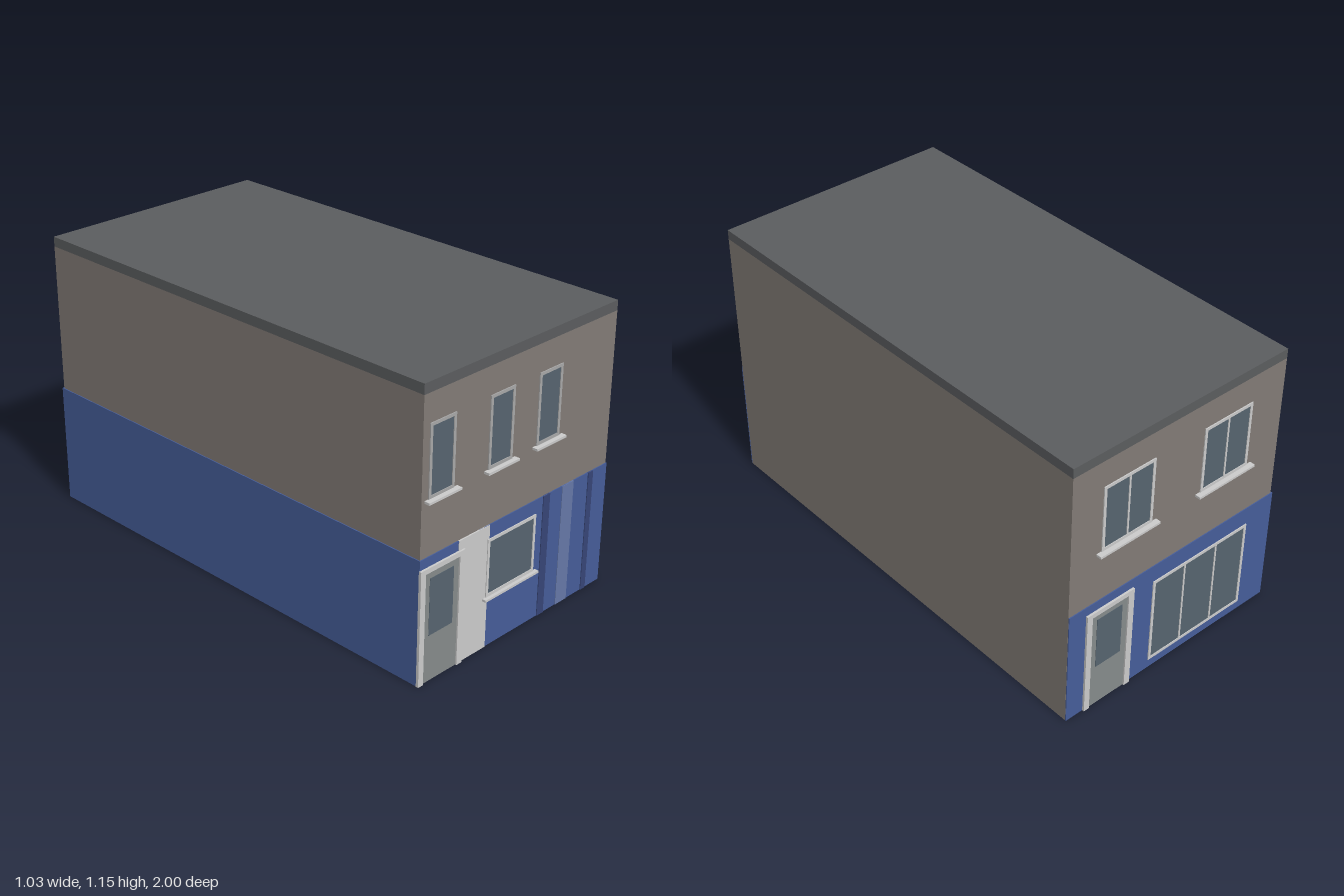
import * as THREE from 'three';

const mat = (color, side = THREE.FrontSide) => new THREE.MeshStandardMaterial({ color, side });
const M = {
  wall: mat(0x827b76, THREE.DoubleSide),
  roof: mat(0x5b5d5f),
  blue: mat(0x465d99),
  darkBlue: mat(0x374577),
  paleBlue: mat(0x6678a7),
  trim: mat(0xcccccc),
  frame: mat(0xa8a8a8),
  door: mat(0x868b8b),
  glass: mat(0x56646f),
};
const X0 = -0.51, X1 = 0.515, WALL = 0.977, BLUE = 0.982, H = 1.15, SHOP = 0.5;

// box given by its extents
function box(parent, name, m, x0, x1, y0, y1, z0, z1) {
  const mesh = new THREE.Mesh(new THREE.BoxGeometry(x1 - x0, y1 - y0, z1 - z0), m);
  mesh.position.set((x0 + x1) / 2, (y0 + y1) / 2, (z0 + z1) / 2);
  mesh.name = name;
  parent.add(mesh);
  return mesh;
}

// rectangular surround with an opening, extruded from z to z + depth
function surround(parent, name, m, outer, inner, z, depth) {
  const corners = ([x0, x1, y0, y1]) =>
    [[x0, y0], [x1, y0], [x1, y1], [x0, y1]].map(([x, y]) => new THREE.Vector2(x, y));
  const shape = new THREE.Shape(corners(outer));
  shape.holes.push(new THREE.Path(corners(inner)));
  const mesh = new THREE.Mesh(new THREE.ExtrudeGeometry(shape, { depth, bevelEnabled: false }), m);
  mesh.position.z = z;
  mesh.name = name;
  parent.add(mesh);
}

// framed window with equal panes and an optional sill
function makeWindow(parent, name, { x0, x1, y0, y1, z, m = M.frame, panes = 1, sill = 0 }) {
  const g = new THREE.Group();
  g.name = name;
  const t = 0.012;
  surround(g, 'windowFrame', m, [x0, x1, y0, y1], [x0 + t, x1 - t, y0 + t, y1 - t], z, 0.004);
  box(g, 'windowGlass', M.glass, x0 + t, x1 - t, y0 + t, y1 - t, z, z + 0.0015);
  for (let i = 1; i < panes; i++) {
    const x = x0 + ((x1 - x0) * i) / panes;
    box(g, 'mullion', m, x - t / 3, x + t / 3, y0 + t, y1 - t, z, z + 0.004);
  }
  if (sill) box(g, 'windowSill', M.trim, x0 - sill, x1 + sill, y0 - 0.009, y0, z - 0.002, 1.0);
  parent.add(g);
}

// glazed door inside a raised frame, x is the frame's left edge
function makeDoor(parent, name, x) {
  const g = new THREE.Group();
  g.name = name;
  const shape = [[0, 0], [0.025, 0], [0.025, 0.443], [0.2, 0.443], [0.2, 0], [0.227, 0],
    [0.227, 0.462], [0, 0.462]].map(([a, b]) => new THREE.Vector2(x + a, b));
  const frame = new THREE.Mesh(
    new THREE.ExtrudeGeometry(new THREE.Shape(shape), { depth: 0.011, bevelEnabled: false }), M.trim);
  frame.position.z = 0.98;
  frame.name = 'doorFrame';
  g.add(frame);
  box(g, 'doorLeaf', M.door, x + 0.025, x + 0.2, 0, 0.443, 0.98, 0.985);
  box(g, 'doorGlass', M.glass, x + 0.052, x + 0.174, 0.187, 0.415, 0.984, 0.9865);
  parent.add(g);
}

export function createModel() {
  const model = new THREE.Group();
  model.name = 'shopBuilding';

  // four walls, open underneath
  const walls = new THREE.Group();
  walls.name = 'walls';
  const cx = (X0 + X1) / 2;
  const sides = [
    ['frontWall', X1 - X0, cx, WALL, 0],
    ['backWall', X1 - X0, cx, -WALL, Math.PI],
    ['leftWall', 2 * WALL, X1, 0, Math.PI / 2],
    ['rightWall', 2 * WALL, X0, 0, -Math.PI / 2],
  ];
  for (const [name, w, x, z, turn] of sides) {
    const wall = new THREE.Mesh(new THREE.PlaneGeometry(w, 1.11), M.wall);
    wall.position.set(x, 0.555, z);
    wall.rotation.y = turn;
    wall.name = name;
    walls.add(wall);
  }
  model.add(walls);

  // flat roof with its edge band
  box(model, 'roof', M.roof, X0, X1, 1.11, H, -WALL, WALL);

  // painted ground floor on the right side
  box(model, 'sidePaint', M.blue, -0.515, X0 - 0.001, 0, SHOP, -BLUE, BLUE);

  // front elevation
  const front = new THREE.Group();
  front.name = 'front';
  box(front, 'frontPaint', M.blue, -0.515, X1, 0, SHOP, WALL + 0.001, BLUE);
  box(front, 'palePanel', M.trim, -0.318, -0.155, 0, SHOP, WALL + 0.001, 0.984);
  for (const [a, b] of [[0.14, 0.177], [0.402, 0.43]])
    box(front, 'darkPilaster', M.darkBlue, a, b, 0, SHOP, WALL + 0.001, 0.985);
  box(front, 'paleStripe', M.paleBlue, 0.25, 0.315, 0, SHOP, WALL + 0.001, 0.984);
  makeDoor(front, 'frontDoor', -0.517);
  makeWindow(front, 'shopWindow',
    { x0: -0.165, x1: 0.1, y0: 0.21, y1: 0.445, z: 0.983, m: M.trim, sill: 0.015 });
  for (const x of [-0.478, -0.175, 0.085])
    makeWindow(front, 'upperWindow', { x0: x, x1: x + 0.128, y0: 0.72, y1: 1.0, z: WALL, sill: 0.018 });
  model.add(front);

  // back elevation, laid out facing forward and then turned round
  const back = new THREE.Group();
  back.name = 'back';
  box(back, 'backPaint', M.blue, -0.515, 0.515, 0, SHOP, WALL + 0.001, BLUE);
  makeDoor(back, 'backDoor', -0.435);
  makeWindow(back, 'displayWindow',
    { x0: -0.107, x1: 0.378, y0: 0.04, y1: 0.426, z: BLUE, m: M.trim, panes: 3 });
  for (const x of [-0.372, 0.107])
    makeWindow(back, 'upperWindow',
      { x0: x, x1: x + 0.24, y0: 0.72, y1: 1.0, z: WALL, m: M.trim, panes: 2, sill: 0.022 });
  back.rotation.y = Math.PI;
  model.add(back);

  return model;
}
